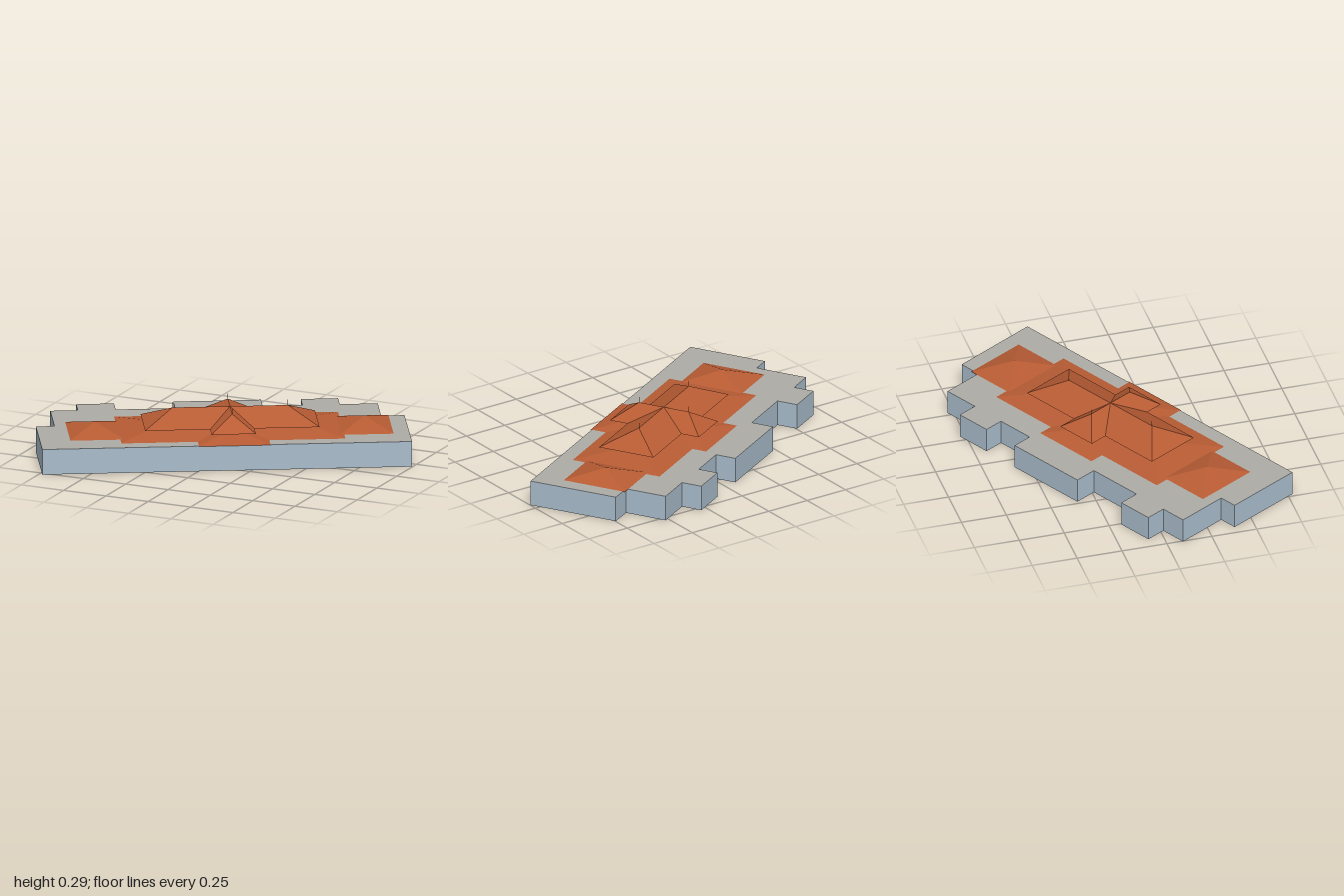
import * as THREE from 'three';

const BASE = 0.14, EAVE = 0.18, RIDGE = 0.26;

const paint = (color) => new THREE.MeshStandardMaterial({
  color, flatShading: true, side: THREE.DoubleSide, roughness: 0.9,
});
const wallMat = paint(0xa9bccb);
const deckMat = paint(0xaeaca6);
const roofMat = paint(0xb85c34);

// Geometry from a list of triangles, each made of three [x, y, z] points
function fromTriangles(tris) {
  const g = new THREE.BufferGeometry();
  g.setAttribute('position', new THREE.Float32BufferAttribute(tris.flat(2), 3));
  g.computeVertexNormals();
  return g;
}

// Hipped roof over a rectangle; run is the distance from the end eave to the ridge end
function hipRoof(x0, x1, z0, z1, y0, y1, run, alongZ = false) {
  const a = [x0, y0, z1], b = [x1, y0, z1], c = [x1, y0, z0], d = [x0, y0, z0];
  const xm = (x0 + x1) / 2, zm = (z0 + z1) / 2;
  const p = alongZ ? [xm, y1, z1 - run] : [x0 + run, y1, zm];
  const q = alongZ ? [xm, y1, z0 + run] : [x1 - run, y1, zm];
  const slopes = alongZ
    ? [[a, b, p], [b, c, q], [b, q, p], [c, d, q], [d, a, p], [d, p, q]]
    : [[a, b, q], [a, q, p], [b, c, q], [c, d, p], [c, p, q], [d, a, p]];
  return fromTriangles([...slopes, [a, d, c], [a, c, b]]);
}

export function createModel() {
  const model = new THREE.Group();
  model.name = 'building';
  model.rotation.y = 0.515;

  const add = (name, geometry, material) => {
    const mesh = new THREE.Mesh(geometry, material);
    mesh.name = name;
    model.add(mesh);
    return mesh;
  };

  // Footprint as [x, z], starting at the front left of the plan
  const plan = [
    [-1.018, 0.316], [0.967, 0.316], [0.965, -0.188], [0.84, -0.19],
    [0.84, -0.424], [0.636, -0.424], [0.636, -0.538], [0.436, -0.538],
    [0.436, -0.428], [0.222, -0.428], [0.222, -0.542], [-0.248, -0.542],
    [-0.248, -0.416], [-0.567, -0.416], [-0.567, -0.532], [-0.77, -0.532],
    [-0.77, -0.418], [-0.918, -0.418], [-0.918, -0.126], [-1.018, -0.126],
  ];

  // Walls, open underneath
  const walls = plan.flatMap(([x, z], i) => {
    const [u, w] = plan[(i + 1) % plan.length];
    const a = [x, 0, z], b = [u, 0, w], c = [u, BASE, w], d = [x, BASE, z];
    return [[a, b, c], [a, c, d]];
  });
  add('walls', fromTriangles(walls), wallMat);

  // Flat deck
  const outline = new THREE.Shape(plan.map(([x, z]) => new THREE.Vector2(x, -z)));
  const deck = new THREE.ShapeGeometry(outline);
  deck.rotateX(-Math.PI / 2);
  deck.translate(0, BASE, 0);
  add('deck', deck, deckMat);

  // Low hipped roofs: long body and the cross wing
  add('lowerMainRoof', hipRoof(-0.593, 0.622, -0.287, 0.24, BASE - 0.001, EAVE, 0.263), roofMat);
  add('lowerCrossRoof', hipRoof(-0.182, 0.212, -0.367, 0.322, BASE - 0.001, 0.177, 0.197, true), roofMat);

  // Pyramid roofs at both ends
  for (const [name, x0, x1] of [['rightEndRoof', -0.855, -0.565], ['leftEndRoof', 0.592, 0.88]]) {
    add(name, hipRoof(x0, x1, -0.202, 0.16, BASE, 0.192, (x1 - x0) / 2), roofMat);
  }

  // Raised crossing roofs
  add('upperMainRoof', hipRoof(-0.452, 0.484, -0.181, 0.14, EAVE, RIDGE, 0.158), roofMat);
  add('upperCrossRoof', hipRoof(-0.103, 0.134, -0.284, 0.243, EAVE, RIDGE, 0.117, true), roofMat);

  // Thin finials on the ridge ends
  const finial = new THREE.CylinderGeometry(0.0015, 0.0015, 0.03, 6);
  for (const [x, z] of [[-0.294, -0.021], [0.326, -0.021], [0.0155, 0.126], [0.0155, -0.167]]) {
    add('finial', finial, roofMat).position.set(x, RIDGE + 0.014, z);
  }

  const root = new THREE.Group();
  root.name = 'model';
  root.add(model);
  return root;
}
